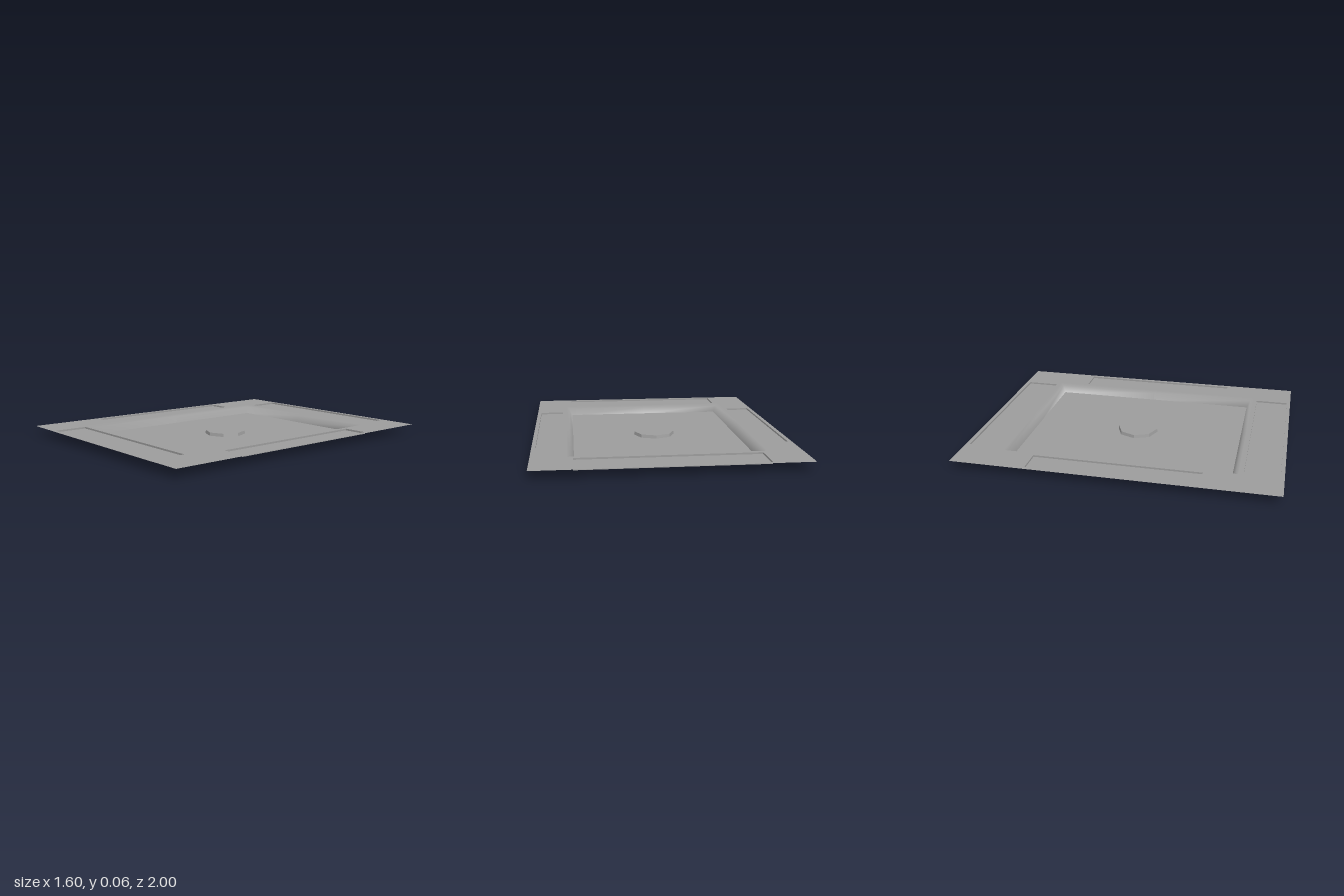
import * as THREE from 'three';

const material = new THREE.MeshStandardMaterial({ color: 0x9c9c9c, side: THREE.DoubleSide });
const RIM_Y = 0.056, PANEL_Y = 0.045, BOSS_Y = 0.021;

// Rectangle as 8 points (corners and edge midpoints), counter-clockwise
const rect = (hx, hy, cx = 0, cy = 0) =>
  [[1, 0], [1, 1], [0, 1], [-1, 1], [-1, 0], [-1, -1], [0, -1], [1, -1]]
    .map(([a, b]) => new THREE.Vector2(cx + a * hx, cy + b * hy));

const octagon = (r) => Array.from({ length: 8 }, (_, i) =>
  new THREE.Vector2(r * Math.cos(i * Math.PI / 4), r * Math.sin(i * Math.PI / 4)));

// Flat horizontal sheet with optional holes
function sheet(name, outline, y, holes = []) {
  const shape = new THREE.Shape(outline);
  holes.forEach((h) => shape.holes.push(new THREE.Path(h)));
  const geometry = new THREE.ShapeGeometry(shape).rotateX(-Math.PI / 2).translate(0, y, 0);
  const mesh = new THREE.Mesh(geometry, material);
  mesh.name = name;
  return mesh;
}

// Wall between successive loops, listed from bottom to top, facing inward
// (list them from top to bottom to face outward)
function wall(name, loops, smooth = false) {
  const positions = [], index = [], n = loops[0].points.length;
  loops.forEach(({ points, y }) => points.forEach((p) => positions.push(p.x, y, -p.y)));
  for (let k = 0; k < loops.length - 1; k++) {
    for (let i = 0; i < n; i++) {
      const a = k * n + i, b = k * n + (i + 1) % n;
      index.push(a, a + n, b, b, a + n, b + n);
    }
  }
  let geometry = new THREE.BufferGeometry();
  geometry.setAttribute('position', new THREE.Float32BufferAttribute(positions, 3));
  geometry.setIndex(index);
  if (!smooth) geometry = geometry.toNonIndexed();
  geometry.computeVertexNormals();
  if (smooth) {
    // Normals turn upward loop by loop, so the wall blends into the flat rim
    const normal = geometry.attributes.normal, up = new THREE.Vector3(0, 1, 0);
    const v = new THREE.Vector3();
    for (let i = 0; i < normal.count; i++) {
      const blend = Math.floor(i / n) / (loops.length - 1);
      v.fromBufferAttribute(normal, i).lerp(up, blend).normalize();
      normal.setXYZ(i, v.x, v.y, v.z);
    }
  }
  const mesh = new THREE.Mesh(geometry, material);
  mesh.name = name;
  return mesh;
}

export function createModel() {
  const model = new THREE.Group();
  model.name = 'rectangularTray';

  const wellTop = rect(0.59, 0.733), wellShoulder = rect(0.57, 0.714), wellFloor = rect(0.547, 0.692);
  const bossBase = octagon(0.136), bossTop = octagon(0.132);

  // Shallow recessed panels on the four sides of the rim
  const panels = [];
  for (const s of [-1, 1]) {
    const side = s > 0 ? 'left' : 'right', end = s > 0 ? 'back' : 'front';
    panels.push({ name: side + 'Panel', points: rect(0.079, 0.526, s * 0.696, 0) });
    panels.push({ name: end + 'Panel', points: rect(0.554, 0.107, 0, s * 0.869) });
  }
  for (const { name, points } of panels) {
    const group = new THREE.Group();
    group.name = name;
    group.add(
      sheet(name + 'Floor', points, PANEL_Y),
      wall(name + 'Wall', [{ points, y: PANEL_Y }, { points, y: RIM_Y }]),
    );
    model.add(group);
  }

  // Flat rim around the well
  model.add(sheet('rim', rect(0.8, 1), RIM_Y, [wellTop, ...panels.map((p) => p.points)]));

  // Sloping well wall and flat floor
  model.add(wall('wellWall', [
    { points: wellFloor, y: 0 },
    { points: wellShoulder, y: 0.044 },
    { points: wellTop, y: RIM_Y },
  ], true));
  model.add(sheet('wellFloor', wellFloor, 0, [bossBase]));

  // Raised octagonal boss, slightly tapered and hollow underneath
  model.add(wall('bossWall', [{ points: bossTop, y: BOSS_Y }, { points: bossBase, y: 0 }]));
  model.add(sheet('bossTop', bossTop, BOSS_Y));

  return model;
}
